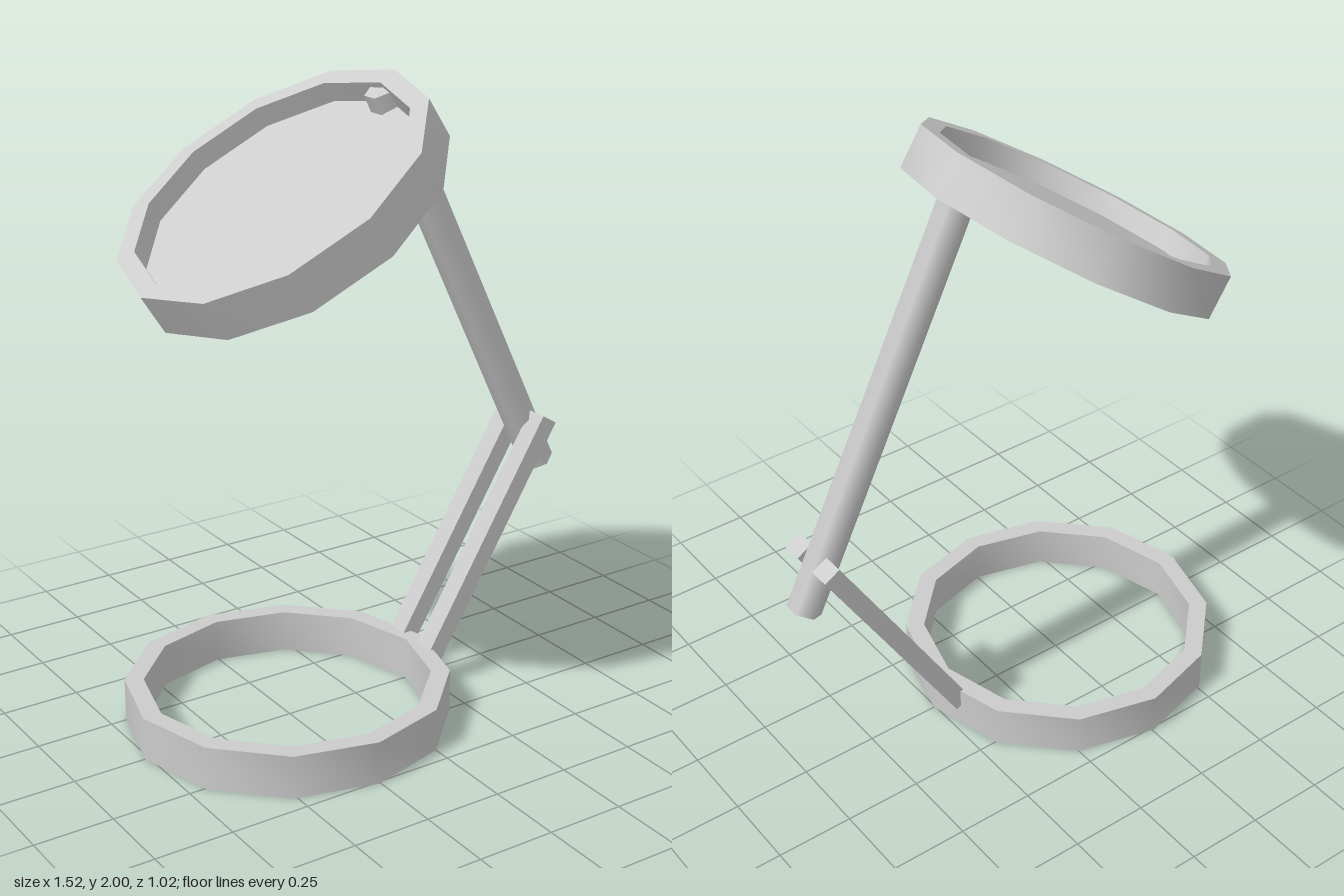
import * as THREE from 'three';
import { toCreasedNormals } from 'three/addons/utils/BufferGeometryUtils.js';

const SIDES = 12, OUTER = 0.51, INNER = 0.45, HEIGHT = 0.138;
const deg = THREE.MathUtils.degToRad;

// Twelve-sided hoop with a rectangular section, smooth round its walls
function hoopGeometry() {
  const h = HEIGHT / 2;
  const section = [[INNER, -h], [OUTER, -h], [OUTER, h], [INNER, h], [INNER, -h]]
    .map(([x, y]) => new THREE.Vector2(x, y));
  return toCreasedNormals(new THREE.LatheGeometry(section, SIDES), 0.7);
}

export function createModel() {
  const model = new THREE.Group();
  model.name = 'deskLamp';
  const grey = new THREE.MeshStandardMaterial({ color: 0xcccccc });
  const thin = new THREE.MeshStandardMaterial({ color: 0xcccccc, side: THREE.DoubleSide });

  function add(parent, name, geometry, position, tilt = 0, material = grey) {
    const mesh = new THREE.Mesh(geometry, material);
    mesh.name = name;
    mesh.position.set(...position);
    mesh.rotation.z = deg(tilt);
    parent.add(mesh);
    return mesh;
  }

  // Open base hoop
  add(model, 'baseRing', hoopGeometry(), [-0.255, HEIGHT / 2, 0]);

  // Tilted head: the same hoop with a thin panel across its middle
  const head = new THREE.Group();
  head.name = 'head';
  head.position.set(-0.256, 1.667, 0);
  head.rotation.z = deg(32.8);
  model.add(head);
  add(head, 'headRing', hoopGeometry(), [0, 0, 0]);
  const panel = new THREE.CircleGeometry(INNER + 0.01, SIDES).rotateX(-Math.PI / 2);
  add(head, 'headPanel', panel, [0, 0, 0], 0, thin);

  // Pair of flat struts rising from the base
  for (const side of [-1, 1]) {
    add(model, side > 0 ? 'frontStrut' : 'backStrut',
      new THREE.BoxGeometry(0.06, 0.884, 0.07), [0.445, 0.458, side * 0.075], -31.4);
  }

  // Six-sided upper arm, its tip poking through the head panel
  const foot = new THREE.Vector2(0.715, 0.655), tip = new THREE.Vector2(0.09, 1.95);
  add(model, 'upperArm', new THREE.CylinderGeometry(0.055, 0.055, foot.distanceTo(tip), 6),
    [(foot.x + tip.x) / 2, (foot.y + tip.y) / 2, 0],
    THREE.MathUtils.radToDeg(Math.atan2(foot.x - tip.x, tip.y - foot.y)));

  return model;
}
